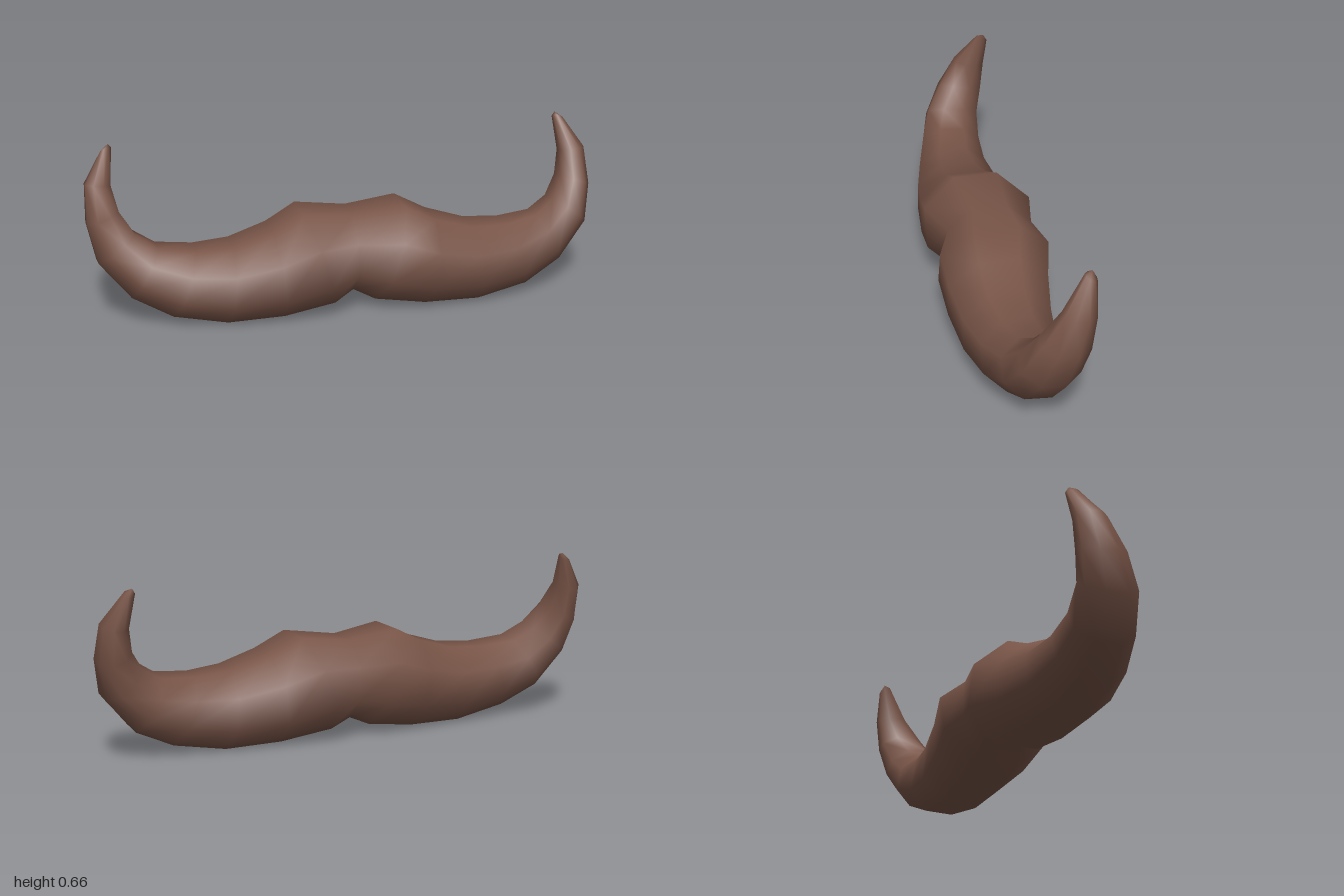
import * as THREE from 'three';

// Half of the moustache, from the middle to the curled tip.
// Each ring: top x, top y, bottom x, bottom y, front z, back z, front-to-back tilt
const HALF = [
  [0.00, 0.38, 0.00, 0.075, 0.15, -0.18, 0],
  [0.20, 0.405, 0.08, 0.04, 0.21, -0.21, 0],
  [0.32, 0.345, 0.28, 0.008, 0.205, -0.175, 0],
  [0.47, 0.30, 0.50, 0.002, 0.185, -0.145, 0],
  [0.61, 0.29, 0.705, 0.04, 0.15, -0.125, 0],
  [0.75, 0.305, 0.855, 0.115, 0.11, -0.13, 0.01],
  [0.83, 0.355, 0.97, 0.25, 0.07, -0.14, 0.015],
  [0.88, 0.43, 1.00, 0.39, 0.01, -0.165, 0.015],
  [0.90, 0.52, 0.995, 0.53, -0.065, -0.18, 0.01],
  [0.885, 0.65, 0.925, 0.64, -0.15, -0.19, 0.01],
];
const SIDES = 8;

// Octagonal ring spanned by its top and bottom points and its z range
function ringPoints([tx, ty, bx, by, front, back, tilt]) {
  const points = [];
  for (let j = 0; j < SIDES; j++) {
    const a = ((j + 0.5) / SIDES) * Math.PI * 2;
    const c = Math.cos(a) / Math.cos(Math.PI / SIDES);
    const s = Math.sin(a) / Math.cos(Math.PI / SIDES);
    points.push(
      (tx + bx) / 2 + (s * (tx - bx)) / 2,
      (ty + by) / 2 + (s * (ty - by)) / 2 + c * tilt,
      (front + back) / 2 + (c * (front - back)) / 2
    );
  }
  return points;
}

function loft(rings, tip) {
  const positions = rings.flatMap(ringPoints);
  const index = [];
  const last = rings.length - 1;
  const start = rings.length * SIDES;
  const end = start + 1;
  // Pointed tips close both ends
  positions.push(-tip[0], tip[1], tip[2], ...tip);
  for (let j = 0; j < SIDES; j++) {
    const k = (j + 1) % SIDES;
    for (let i = 0; i < last; i++) {
      const a = i * SIDES + j, b = a + SIDES;
      const d = i * SIDES + k, c = d + SIDES;
      index.push(a, b, c, a, c, d);
    }
    index.push(start, j, k);
    index.push(end, last * SIDES + k, last * SIDES + j);
  }
  const geometry = new THREE.BufferGeometry();
  geometry.setAttribute('position', new THREE.Float32BufferAttribute(positions, 3));
  geometry.setIndex(index);
  geometry.computeVertexNormals();
  return geometry;
}

export function createModel() {
  const group = new THREE.Group();
  group.name = 'curledMoustache';

  // Mirror the half to get one continuous body from tip to tip
  const mirrored = HALF.slice(1).reverse()
    .map(([tx, ty, bx, by, ...rest]) => [-tx, ty, -bx, by, ...rest]);
  const geometry = loft([...mirrored, ...HALF], [0.895, 0.664, -0.175]);

  const hair = new THREE.MeshStandardMaterial({ color: 0x795548 });
  const body = new THREE.Mesh(geometry, hair);
  body.name = 'moustache';
  group.add(body);
  return group;
}
